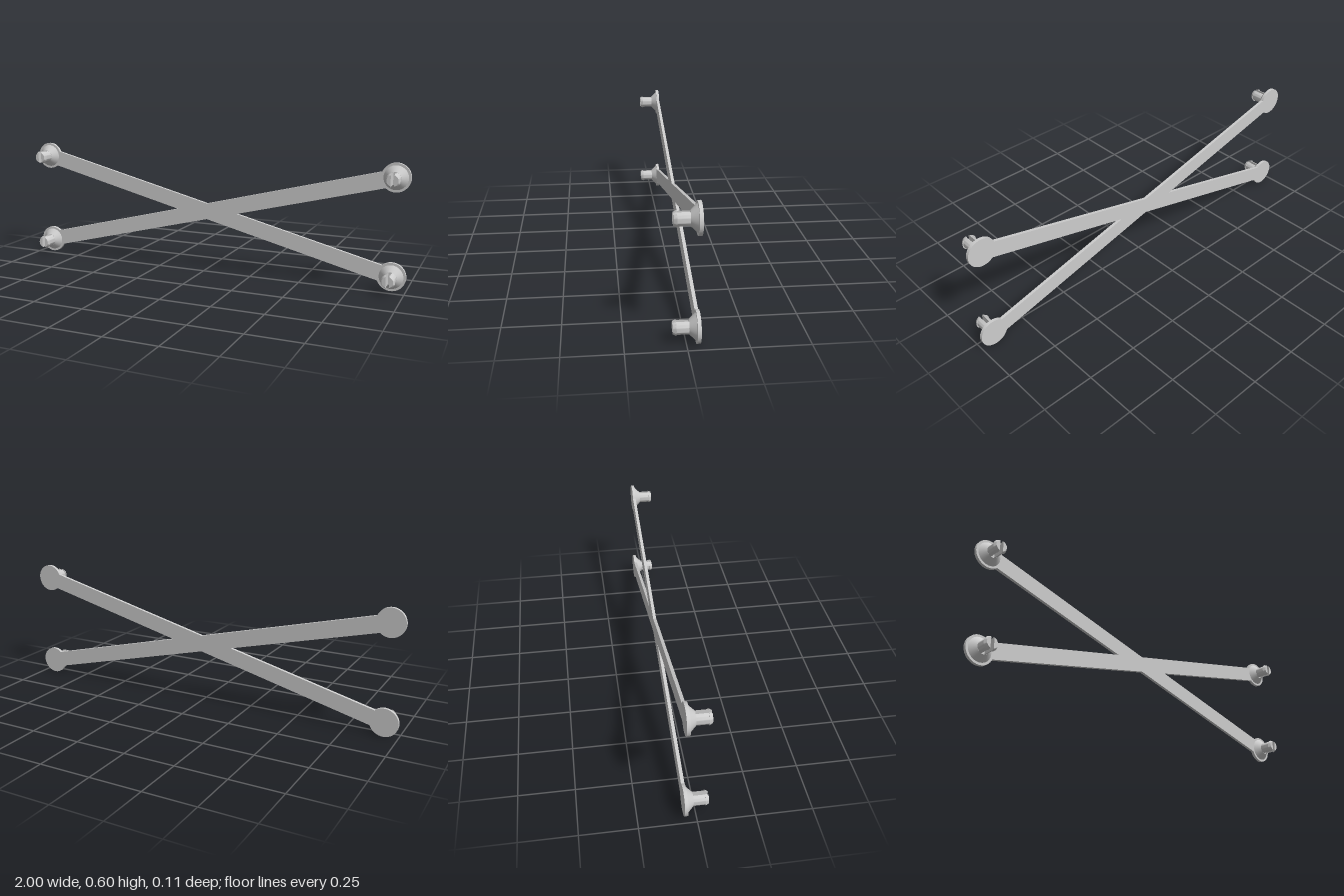
import * as THREE from 'three';
import { toCreasedNormals } from 'three/addons/utils/BufferGeometryUtils.js';

const X = 0.932, Y = 0.2335, CY = 0.3015; // peg centres, measured from the crossing
const R = 0.068, BACK = -0.054, FACE = -0.039; // end discs and plate depth
const SEAT = -0.011, SLOT = 0.008; // peg root and half the slot width
const HALF = 0.039; // half the arm width

// Crossed arms and their round ends as one outline
function plateGeometry() {
  const tilt = Math.atan2(Y, X), bite = Math.asin(HALF / R);
  const h = HALF / Math.cos(tilt), side = HALF / Math.sin(tilt);
  const ends = [[X, Y], [-X, Y], [-X, -Y], [X, -Y]];
  const notches = [[0, h], [-side, 0], [0, -h], [side, 0]]; // each follows its end
  const shape = new THREE.Shape();
  ends.forEach(([x, y], i) => {
    const inward = Math.atan2(y, x) + Math.PI;
    shape.absarc(x, y, R, inward + bite, inward - bite + Math.PI * 2, false);
    shape.lineTo(...notches[i]);
  });
  shape.closePath();
  const g = new THREE.ExtrudeGeometry(shape, { depth: FACE - BACK, bevelEnabled: false, curveSegments: 40 });
  return g.translate(0, CY, BACK);
}

// Half of a split peg: D-shaped sections [z, radius] joined in loops
function prongGeometry() {
  const sections = [[SEAT, 0.0295], [0.041, 0.0295], [0.041, 0.0335], [0.055, 0.0265]];
  const n = 18, pos = [], idx = [];
  for (const [z, r] of sections) {
    const a = Math.acos(SLOT / r);
    for (let i = 0; i <= n; i++) {
      const t = -a + (2 * a * i) / n;
      pos.push(r * Math.cos(t), r * Math.sin(t), z);
    }
  }
  const m = n + 1, last = (sections.length - 1) * m;
  for (let s = 0; s < sections.length - 1; s++) {
    for (let i = 0; i < m; i++) {
      const a = s * m + i, b = s * m + (i + 1) % m;
      idx.push(a, b, b + m, a, b + m, a + m);
    }
  }
  for (let i = 1; i < n; i++) {
    idx.push(last, last + i, last + i + 1); // tip
    idx.push(0, i + 1, i); // root
  }
  const g = new THREE.BufferGeometry();
  g.setAttribute('position', new THREE.Float32BufferAttribute(pos, 3));
  g.setIndex(idx);
  return toCreasedNormals(g, 0.5);
}

export function createModel() {
  const grey = new THREE.MeshStandardMaterial({ color: 0xcccccc });
  grey.name = 'grey plastic';
  const model = new THREE.Group();
  model.name = 'crossBrace';
  const add = (parent, name, geometry) => {
    const mesh = new THREE.Mesh(geometry, grey);
    mesh.name = name;
    parent.add(mesh);
    return mesh;
  };

  add(model, 'crossedArms', plateGeometry());

  // Conical collar with a split snap peg at every end
  const collar = new THREE.CylinderGeometry(0.03, 0.057, SEAT - FACE, 36)
    .rotateX(Math.PI / 2).translate(0, 0, (SEAT + FACE) / 2);
  const prong = prongGeometry();
  for (const sx of [-1, 1]) {
    for (const sy of [-1, 1]) {
      const peg = new THREE.Group();
      peg.name = (sy > 0 ? 'upper' : 'lower') + (sx > 0 ? 'Left' : 'Right') + 'Peg';
      peg.position.set(sx * X, CY + sy * Y, 0);
      add(peg, 'collar', collar);
      add(peg, 'leftProng', prong);
      add(peg, 'rightProng', prong).rotation.z = Math.PI;
      model.add(peg);
    }
  }
  return model;
}
